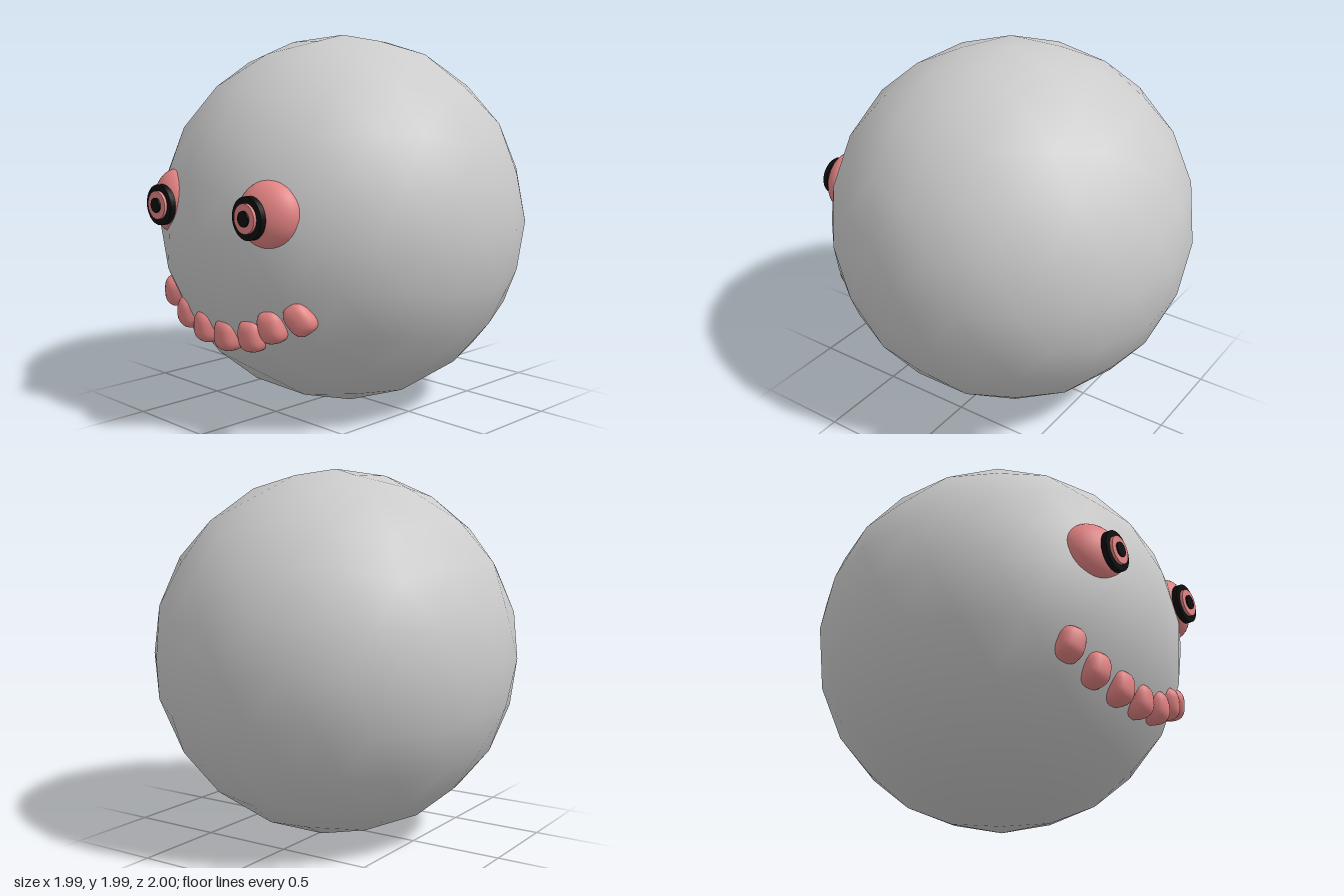
import * as THREE from 'three';
import { mergeVertices } from 'three/addons/utils/BufferGeometryUtils.js';

const R = 0.994, CY = 0.997, CZ = -0.005;
const grey = new THREE.MeshStandardMaterial({ color: 0xcccccc });
const pink = new THREE.MeshStandardMaterial({ color: 0xe48383 });
const black = new THREE.MeshStandardMaterial({ color: 0x0c0c0c });

// Icosahedron standing on a vertex, split twice, with smooth radial normals
function bodyGeometry() {
  const V = (x, y, z) => new THREE.Vector3(x, y, z).normalize();
  const ring = (y, offset) => Array.from({ length: 5 }, (_, i) => {
    const a = (i * 72 + offset) * Math.PI / 180;
    return V(2 * Math.cos(a), y, -2 * Math.sin(a));
  });
  const up = ring(1, 0), low = ring(-1, 36);
  const top = V(0, 1, 0), bottom = V(0, -1, 0);
  let tris = [];
  for (let i = 0; i < 5; i++) {
    const j = (i + 1) % 5;
    tris.push([top, up[i], up[j]], [up[i], low[i], up[j]],
      [low[i], low[j], up[j]], [bottom, low[j], low[i]]);
  }
  const mid = (a, b) => a.clone().add(b).normalize();
  for (let k = 0; k < 2; k++) {
    tris = tris.flatMap(([a, b, c]) => {
      const ab = mid(a, b), bc = mid(b, c), ca = mid(c, a);
      return [[a, ab, ca], [ab, b, bc], [ca, bc, c], [ab, bc, ca]];
    });
  }
  const points = tris.flat();
  const g = new THREE.BufferGeometry().setFromPoints(points);
  g.setAttribute('normal', g.attributes.position.clone());
  g.scale(R, R, R);
  return g;
}

// Rounded block: a sphere pushed towards a box
function toothGeometry() {
  const g = new THREE.SphereGeometry(1, 24, 16);
  const p = g.attributes.position;
  const swell = (v) => Math.sign(v) * Math.abs(v) ** 0.75;
  for (let i = 0; i < p.count; i++) {
    p.setXYZ(i, swell(p.getX(i)), swell(p.getY(i)), swell(p.getZ(i)));
  }
  g.deleteAttribute('uv');
  g.deleteAttribute('normal');
  g.scale(0.07, 0.086, 0.08);
  const merged = mergeVertices(g, 1e-4);
  merged.computeVertexNormals();
  return merged;
}

function add(parent, name, geometry, material, x, y, z) {
  const mesh = new THREE.Mesh(geometry, material);
  mesh.name = name;
  mesh.position.set(x, y, z);
  parent.add(mesh);
  return mesh;
}

function makeEye(side) {
  const eye = new THREE.Group();
  eye.name = side > 0 ? 'leftEye' : 'rightEye';
  // Flattened ball lying on the body
  const ball = add(eye, 'eyeball', new THREE.SphereGeometry(1, 32, 20), pink, side * 0.372, 1.135, 0.85);
  ball.scale.set(0.165, 0.165, 0.11);
  ball.lookAt(side * 0.742, 1.265, 1.77);
  // Stepped discs facing straight forward: radius, front z, material
  const discs = [
    ['outerRing', 0.104, 0.975, black],
    ['innerRing', 0.072, 0.99, pink],
    ['pupil', 0.038, 0.998, black],
  ];
  for (const [name, r, front, material] of discs) {
    const g = new THREE.CylinderGeometry(r, r, 0.03, 32).rotateX(Math.PI / 2);
    add(eye, name, g, material, side * 0.345, 1.125, front - 0.015);
  }
  return eye;
}

export function createModel() {
  const model = new THREE.Group();
  model.name = 'smilingBall';
  add(model, 'body', bodyGeometry(), grey, 0, CY, CZ);
  model.add(makeEye(1), makeEye(-1));

  // Row of teeth along the smile: x, y, roll
  const teeth = new THREE.Group();
  teeth.name = 'teeth';
  const geometry = toothGeometry();
  const row = [
    [-0.47, 0.635, -0.25], [-0.315, 0.55, -0.15], [-0.145, 0.508, -0.08], [0.025, 0.495, 0],
    [0.2, 0.52, 0.08], [0.335, 0.585, 0.25], [0.48, 0.64, 0.65],
  ];
  for (const [x, y, roll] of row) {
    const surface = Math.sqrt(R * R - x * x - (y - CY) ** 2) + CZ;
    const tooth = add(teeth, 'tooth', geometry, pink, x, y, surface - 0.03);
    tooth.rotation.set(0, Math.atan2(x, surface), roll, 'YXZ');
  }
  model.add(teeth);
  return model;
}
